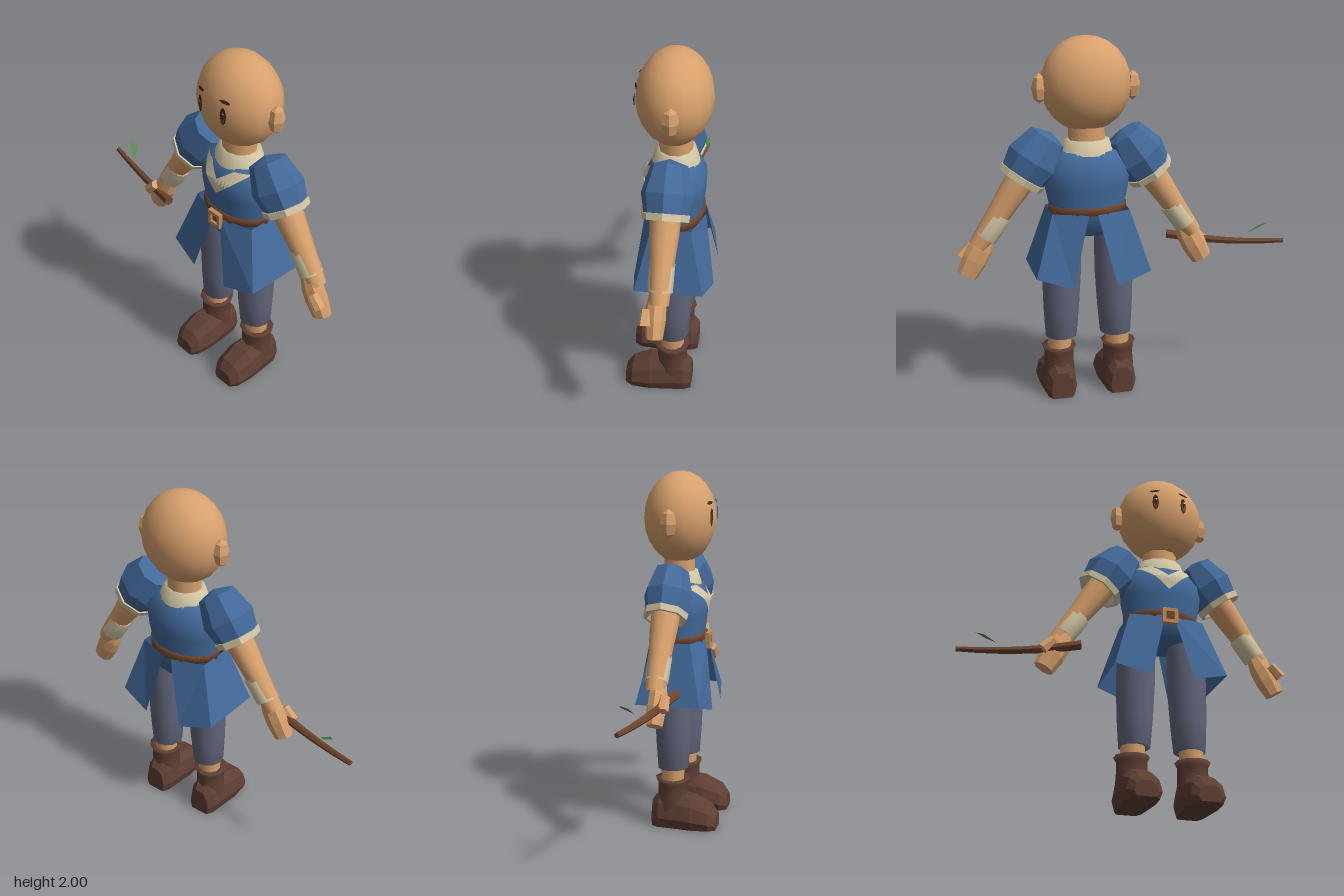
import * as THREE from 'three';

const mat = (name, color, side = THREE.FrontSide) =>
  Object.assign(new THREE.MeshStandardMaterial({ color, side }), { name });

export function createModel() {
  const skin = mat('skin', 0xd8a16d);
  const blue = mat('tunic blue', 0x436a9b, THREE.DoubleSide);
  const cream = mat('cream trim', 0xd3c6a4, THREE.DoubleSide);
  const grey = mat('trouser grey', 0x62667b);
  const boot = mat('boot brown', 0x5e3f33);
  const leather = mat('leather brown', 0x6e452c);
  const tan = mat('buckle tan', 0xc18a58);
  const dark = mat('dark brown', 0x3c261c, THREE.DoubleSide);
  const green = mat('leaf green', 0x568a45, THREE.DoubleSide);
  const white = mat('eye white', 0xf0ece4, THREE.DoubleSide);

  const model = new THREE.Group();
  const body = new THREE.Group();
  body.name = 'body';
  body.position.x = 0.2;
  model.add(body);

  const flat = (geo) => {
    const g = geo.index ? geo.toNonIndexed() : geo;
    g.computeVertexNormals();
    return g;
  };
  const add = (parent, name, geo, material, x = 0, y = 0, z = 0) => {
    const m = new THREE.Mesh(geo, material);
    m.name = name;
    m.position.set(x, y, z);
    parent.add(m);
    return m;
  };
  // profile [radius, y] from bottom to top, squashed in z
  const lathe = (pts, n, sz = 1) =>
    new THREE.LatheGeometry(pts.map(p => new THREE.Vector2(p[0], p[1])), n).scale(1, 1, sz);
  // closed skin over equal-length loops, counterclockwise seen from +z
  const loft = (loops) => {
    const n = loops[0].length, idx = [], last = (loops.length - 1) * n;
    for (let i = 0; i < loops.length - 1; i++)
      for (let j = 0; j < n; j++) {
        const a = i * n + j, b = i * n + (j + 1) % n;
        idx.push(a, b, b + n, a, b + n, a + n);
      }
    for (let j = 1; j < n - 1; j++) idx.push(0, j + 1, j, last, last + j, last + j + 1);
    const g = new THREE.BufferGeometry();
    g.setAttribute('position', new THREE.Float32BufferAttribute(loops.flat(2), 3));
    g.setIndex(idx);
    return flat(g);
  };
  // open sheet between rows of points
  const sheet = (rows) => {
    const n = rows[0].length, idx = [];
    for (let i = 0; i < rows.length - 1; i++)
      for (let j = 0; j < n - 1; j++) {
        const a = i * n + j;
        idx.push(a, a + 1, a + n + 1, a, a + n + 1, a + n);
      }
    const g = new THREE.BufferGeometry();
    g.setAttribute('position', new THREE.Float32BufferAttribute(rows.flat(2), 3));
    g.setIndex(idx);
    return flat(g);
  };

  // head, neck and collar
  add(body, 'head', new THREE.SphereGeometry(1, 16, 12).scale(0.245, 0.255, 0.2), skin, 0, 1.745, -0.015);
  add(body, 'neck', lathe([[0.1, 1.38], [0.098, 1.55]], 10, 0.9), skin, 0, 0, -0.02);
  add(body, 'collar', lathe([[0.15, 1.375], [0.122, 1.45], [0.09, 1.45]], 12, 0.85), cream, 0, 0, -0.02);

  // torso
  const torso = [[0, 0.945], [0.2, 0.945], [0.207, 1.08], [0.232, 1.2], [0.24, 1.3], [0.17, 1.39], [0.1, 1.395]];
  const squash = 0.68;
  add(body, 'torso', lathe(torso, 16, squash), blue, 0, 0, -0.02);
  const torsoZ = (x, y) => {
    let i = 1;
    while (i < torso.length - 2 && torso[i + 1][1] < y) i++;
    const [a, b] = [torso[i], torso[i + 1]];
    const r = a[0] + (b[0] - a[0]) * (y - a[1]) / (b[1] - a[1]);
    return Math.sqrt(Math.max(r * r - x * x, 0)) * squash - 0.02;
  };

  // V trim lying on the chest
  const trim = [];
  for (let v = 0; v <= 4; v++) {
    const row = [];
    for (let u = -8; u <= 8; u++) {
      const x = 0.165 * u / 8, k = Math.abs(x);
      const low = 1.225 + 0.94 * k, high = Math.min(1.38, 1.315 + 0.8 * k);
      const y = low + (high - low) * v / 4;
      row.push([x, y, torsoZ(x, y) + 0.008]);
    }
    trim.push(row);
  }
  add(body, 'chestTrim', sheet(trim), cream);

  // belt and buckle
  add(body, 'belt', lathe([[0.19, 1.058], [0.217, 1.058], [0.217, 1.098], [0.19, 1.098]], 16, 0.73), leather, 0, 0, -0.02);
  const frame = new THREE.Shape([[-1, -1], [1, -1], [1, 1], [-1, 1]].map(p => new THREE.Vector2(p[0] * 0.044, p[1] * 0.044)));
  frame.holes.push(new THREE.Path([[-1, -1], [-1, 1], [1, 1], [1, -1]].map(p => new THREE.Vector2(p[0] * 0.024, p[1] * 0.024))));
  add(body, 'buckle', new THREE.ExtrudeGeometry(frame, { depth: 0.025, bevelEnabled: false }), tan, 0, 1.057, 0.138);
  add(body, 'bucklePlate', new THREE.BoxGeometry(0.07, 0.07, 0.008), leather, 0, 1.057, 0.144);

  // hand-on-arm pieces share one axis; each limb is mirrored by s
  const footHalf = [[0.09, 0], [0.108, 0.3], [0.088, 0.75], [0.045, 1]];
  const footSections = [[-0.13, 0.6, 0.15], [-0.09, 0.82, 0.19], [0.02, 0.92, 0.19], [0.1, 1, 0.18], [0.2, 0.9, 0.135], [0.24, 0.6, 0.085]];
  for (const s of [-1, 1]) {
    const side = s > 0 ? 'left' : 'right';

    // face
    const ear = flat(new THREE.SphereGeometry(1, 6, 4).scale(0.042, 0.08, 0.047));
    add(body, side + 'Ear', ear, skin, s * 0.252, 1.73, -0.025);
    const eye = new THREE.Group();
    eye.name = side + 'Eye';
    eye.position.set(s * 0.083, 1.755, 0.178);
    eye.rotation.y = s * 0.25;
    body.add(eye);
    add(eye, 'eyeOutline', new THREE.CircleGeometry(1, 8).scale(0.018, 0.051, 1), dark);
    add(eye, 'iris', new THREE.CircleGeometry(1, 8).scale(0.011, 0.036, 1), leather, 0, -0.006, 0.003);
    add(eye, 'pupil', new THREE.CircleGeometry(1, 8).scale(0.008, 0.022, 1), dark, 0, 0.004, 0.005);
    add(eye, 'eyeGlint', new THREE.CircleGeometry(0.006, 6), white, 0.004, 0.018, 0.007);
    const brow = add(body, side + 'Brow', new THREE.CircleGeometry(1, 6).scale(0.032, 0.01, 1), dark, s * 0.086, 1.833, 0.168);
    brow.rotation.set(-0.35, s * 0.3, 0);

    // skirt half, open at the front and the back
    add(body, side + 'Skirt', sheet([
      [[s * 0.025, 1.065, 0.14], [s * 0.212, 1.07, 0.085], [s * 0.212, 1.07, -0.125], [s * 0.025, 1.065, -0.183]],
      [[s * 0.12, 0.68, 0.197], [s * 0.315, 0.735, 0.165], [s * 0.315, 0.735, -0.2], [s * 0.12, 0.68, -0.24]],
    ]), blue);

    // arm
    const arm = new THREE.Group();
    arm.name = side + 'Arm';
    arm.position.set(s * 0.366, 1.235, -0.015);
    arm.rotation.z = s * 0.6;
    body.add(arm);
    add(arm, 'sleeve', flat(lathe([[0.128, 0.03], [0.152, 0.135], [0.107, 0.28], [0, 0.31]], 8, 0.88)), blue);
    add(arm, 'cuff', flat(lathe([[0.08, 0.04], [0.115, 0], [0.132, 0], [0.137, 0.035], [0.125, 0.037]], 8, 0.9)), cream);
    add(arm, 'forearm', lathe([[0.05, -0.42], [0.056, -0.34], [0.064, -0.2], [0.076, -0.06], [0.08, 0.06]], 10), skin);
    add(arm, 'wristBand', lathe([[0.05, -0.355], [0.064, -0.355], [0.066, -0.21], [0.05, -0.21]], 10), cream, -s * 0.01);
    const hand = add(arm, 'hand', flat(lathe([[0, -0.12], [0.058, -0.115], [0.07, -0.02], [0.068, 0.05], [0.05, 0.12]], 8, 0.75)), skin, -s * 0.03, -0.475, 0.015);
    hand.rotation.z = -s * 0.1;
    const thumb = add(arm, 'thumb', flat(new THREE.CylinderGeometry(0.027, 0.033, 0.085, 6)), skin, s * 0.02, -0.485, 0.062);
    thumb.rotation.z = s * 0.15;

    // leg and boot
    const leg = lathe([[0.06, 0.34], [0.088, 0.34], [0.1, 0.5], [0.109, 0.7], [0.108, 0.9], [0.09, 0.98]], 12);
    const p = leg.attributes.position;
    for (let i = 0; i < p.count; i++) p.setX(i, p.getX(i) + s * (0.155 - 0.02 * (p.getY(i) - 0.34)));
    add(body, side + 'TrouserLeg', leg, grey, 0, 0, -0.02);
    add(body, side + 'Ankle', lathe([[0.064, 0.25], [0.068, 0.36]], 10), skin, s * 0.165, 0, -0.02);
    add(body, side + 'BootShaft', lathe([[0.09, 0.1], [0.083, 0.19], [0.083, 0.255], [0.098, 0.283], [0.06, 0.275]], 10), boot, s * 0.17, 0, -0.02);
    const loops = footSections.map(([z, w, h]) => [
      ...footHalf.map(([x, y]) => [x * w, y * h, z]),
      ...footHalf.map(([x, y]) => [-x * w, y * h, z]).reverse(),
    ]);
    add(body, side + 'Foot', loft(loops), boot, s * 0.17);
  }

  // slightly bent stick held in the right hand
  const stick = new THREE.CylinderGeometry(0.027, 0.014, 0.665, 6, 6);
  const q = stick.attributes.position;
  for (let i = 0; i < q.count; i++) q.setX(i, q.getX(i) + 0.018 * (1 - (q.getY(i) / 0.33) ** 2));
  const rod = add(model, 'stick', flat(stick), leather, -0.603, 0.832, 0.002);
  rod.quaternion.setFromUnitVectors(new THREE.Vector3(0, 1, 0), new THREE.Vector3(0.645, 0.045, 0.14).normalize());

  // leaf on the stick
  add(model, 'leaf', sheet([
    [[-0.825, 0.93, -0.09], [-0.765, 0.9, -0.09]],
    [[-0.785, 0.905, -0.05], [-0.72, 0.86, -0.035]],
  ]), green);

  return model;
}
